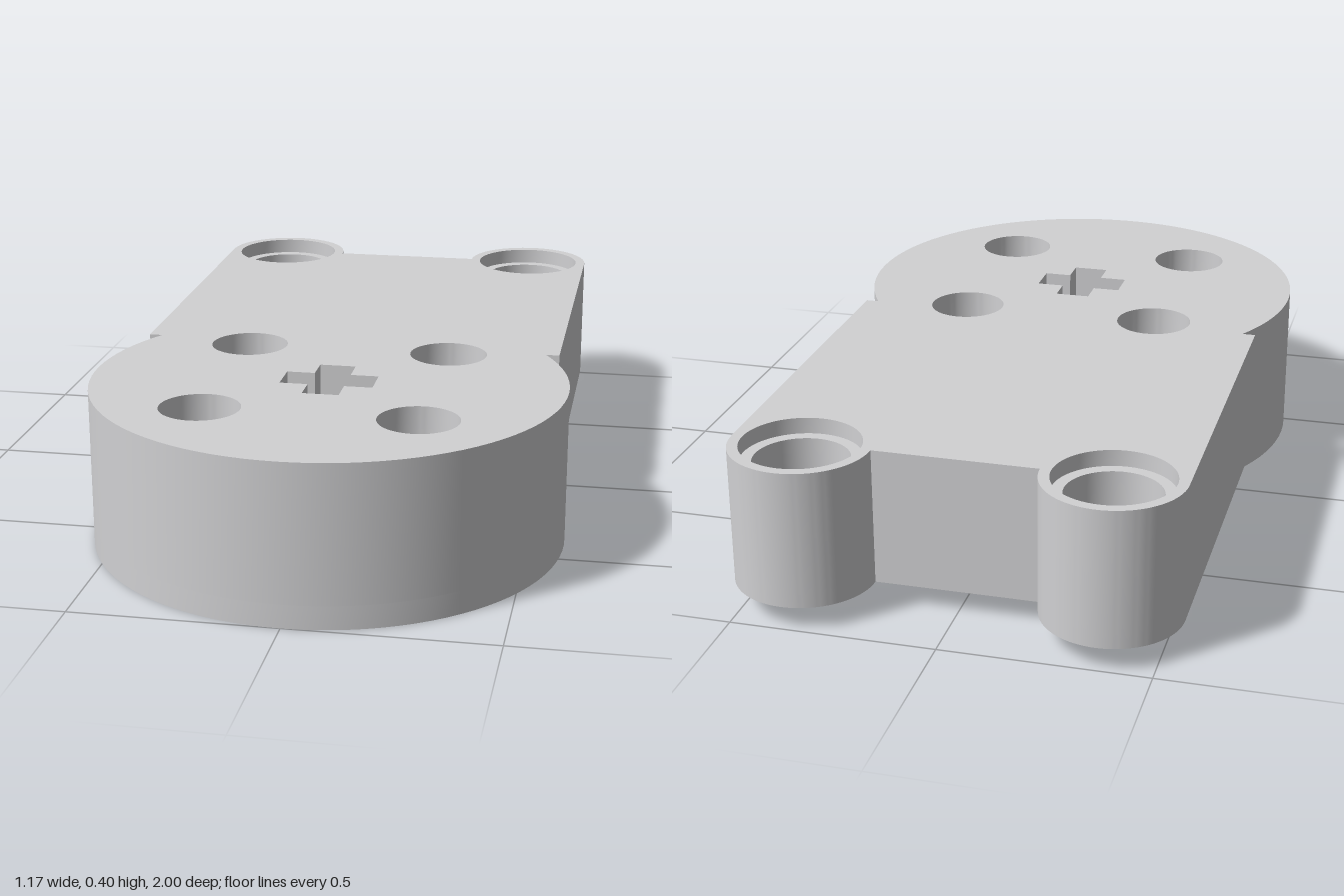
import * as THREE from 'three';
import { mergeGeometries, toCreasedNormals } from 'three/addons/utils/BufferGeometryUtils.js';

// Plans are drawn in (x, -z) and laid flat at a height y.
const SEG = 32;
const HUB = -0.413, HUB_R = 0.587;      // round hub
const BODY_X = 0.54, BODY_START = -0.116;
const LUG_X = 0.37, LUG_Z = 0.83, LUG_R = 0.17;
const PIN = 0.26;                       // screw hole offset from the hub centre
const Y = { top: 0.397, bodyBase: 0.058, lugStep: 0.098, slotFloor: 0.1, boreRoof: 0.18, screwSeat: 0.305, lugSeat: 0.357 };

function circle(x, y, r) {
  return new THREE.Shape().absarc(x, y, r, 0, Math.PI * 2, false);
}

// Plus sign with arms of the given half length and half width
function plus(l, w, turn = 0) {
  const corners = [];
  for (let i = 0; i < 4; i++) {
    const a = i * Math.PI / 2 + turn;
    for (const [x, y] of [[l, -w], [l, w], [w, w]]) {
      corners.push(new THREE.Vector2(x, y).rotateAround(new THREE.Vector2(), a).add(new THREE.Vector2(0, HUB)));
    }
  }
  return new THREE.Shape(corners);
}

// Flat face with holes, facing up or down
function face(shape, holes, y, up) {
  const s = shape.clone();
  s.holes = holes;
  const g = new THREE.ShapeGeometry(s, SEG);
  g.rotateX(-Math.PI / 2).translate(0, y, 0);
  if (!up) {
    const idx = g.index.array;
    for (let i = 0; i < idx.length; i += 3) [idx[i], idx[i + 1]] = [idx[i + 1], idx[i]];
    g.computeVertexNormals();
  }
  g.deleteAttribute('uv');
  return g.toNonIndexed();
}

// Upright wall along a closed plan, facing outwards or into a hole
function wall(shape, y0, y1, inward = false) {
  const pts = shape.getPoints(SEG);
  if (THREE.ShapeUtils.isClockWise(pts) !== inward) pts.reverse();
  const pos = [];
  pts.forEach((a, i) => {
    const b = pts[(i + 1) % pts.length];
    if (a.distanceTo(b) < 1e-5) return;
    pos.push(a.x, y0, -a.y, b.x, y0, -b.y, b.x, y1, -b.y);
    pos.push(a.x, y0, -a.y, b.x, y1, -b.y, a.x, y1, -a.y);
  });
  const g = new THREE.BufferGeometry();
  g.setAttribute('position', new THREE.Float32BufferAttribute(pos, 3));
  return toCreasedNormals(g, 0.5);
}

export function createModel() {
  const group = new THREE.Group();
  const grey = new THREE.MeshStandardMaterial({ color: 0xd1d1d3, side: THREE.DoubleSide });
  grey.name = 'light grey';
  const add = (name, ...geos) => {
    const mesh = new THREE.Mesh(mergeGeometries(geos), grey);
    mesh.name = name;
    group.add(mesh);
  };

  const joint = Math.asin((BODY_START - HUB) / HUB_R); // where the body meets the hub
  const frontArc = () => new THREE.Shape().absarc(0, HUB, HUB_R, Math.PI - joint, Math.PI * 2 + joint, false);
  const addBody = (s) => s
    .lineTo(BODY_X, BODY_START)
    .absarc(LUG_X, LUG_Z, LUG_R, 0, Math.PI, false)
    .absarc(-LUG_X, LUG_Z, LUG_R, 0, Math.PI, false)
    .lineTo(-BODY_X, BODY_START);

  // Whole plan, hub plan, and the part of the body outside the hub, sharing their arcs
  const outline = addBody(frontArc());
  const hub = frontArc().absarc(0, HUB, HUB_R, joint, Math.PI - joint, false);
  const bodyOnly = addBody(new THREE.Shape().moveTo(HUB_R * Math.cos(joint), BODY_START));
  bodyOnly.absarc(0, HUB, HUB_R, Math.PI - joint, joint, true);

  const pins = [[-1, -1], [1, -1], [1, 1], [-1, 1]].map(([i, j]) => [i * PIN, HUB + j * PIN]);
  const lugs = [[-LUG_X, LUG_Z], [LUG_X, LUG_Z]];
  const at = (places, r) => places.map(([x, y]) => circle(x, y, r));
  const axle = plus(0.115, 0.045);
  const slot = plus(0.53, 0.138, Math.PI / 4);
  const bore = circle(0, HUB, 0.125);

  // Outer shell
  add('topFace', face(outline, [axle, ...at(pins, 0.098), ...at(lugs, 0.144)], Y.top, true));
  add('sideWall', wall(outline, Y.bodyBase, Y.top));
  add('bodyUnderside', face(bodyOnly, at(lugs, 0.144), Y.bodyBase, false));
  add('hubBase', wall(hub, 0, Y.bodyBase), face(hub, [slot], 0, false));

  // Diagonal cross slot under the hub
  add('crossSlot', wall(slot, 0, Y.slotFloor, true),
    face(slot, [bore, ...at(pins, 0.054)], Y.slotFloor, false));

  // Round bore leading into the cross-shaped axle hole
  add('axleHole', wall(bore, Y.slotFloor, Y.boreRoof, true),
    face(bore, [axle], Y.boreRoof, false),
    wall(axle, Y.boreRoof, Y.top, true));

  // Counterbored screw holes
  for (const [x, y] of pins) {
    const wide = circle(x, y, 0.098), narrow = circle(x, y, 0.054);
    add('screwHole', wall(wide, Y.screwSeat, Y.top, true),
      face(wide, [narrow], Y.screwSeat, true),
      wall(narrow, Y.slotFloor, Y.screwSeat, true));
  }

  // Lug holes, stepped at both ends
  for (const [x, y] of lugs) {
    const wide = circle(x, y, 0.144), narrow = circle(x, y, 0.115);
    add('lugHole', wall(wide, Y.lugSeat, Y.top, true),
      face(wide, [narrow], Y.lugSeat, true),
      wall(narrow, Y.lugStep, Y.lugSeat, true),
      face(wide, [narrow], Y.lugStep, false),
      wall(wide, Y.bodyBase, Y.lugStep, true));
  }
  return group;
}
